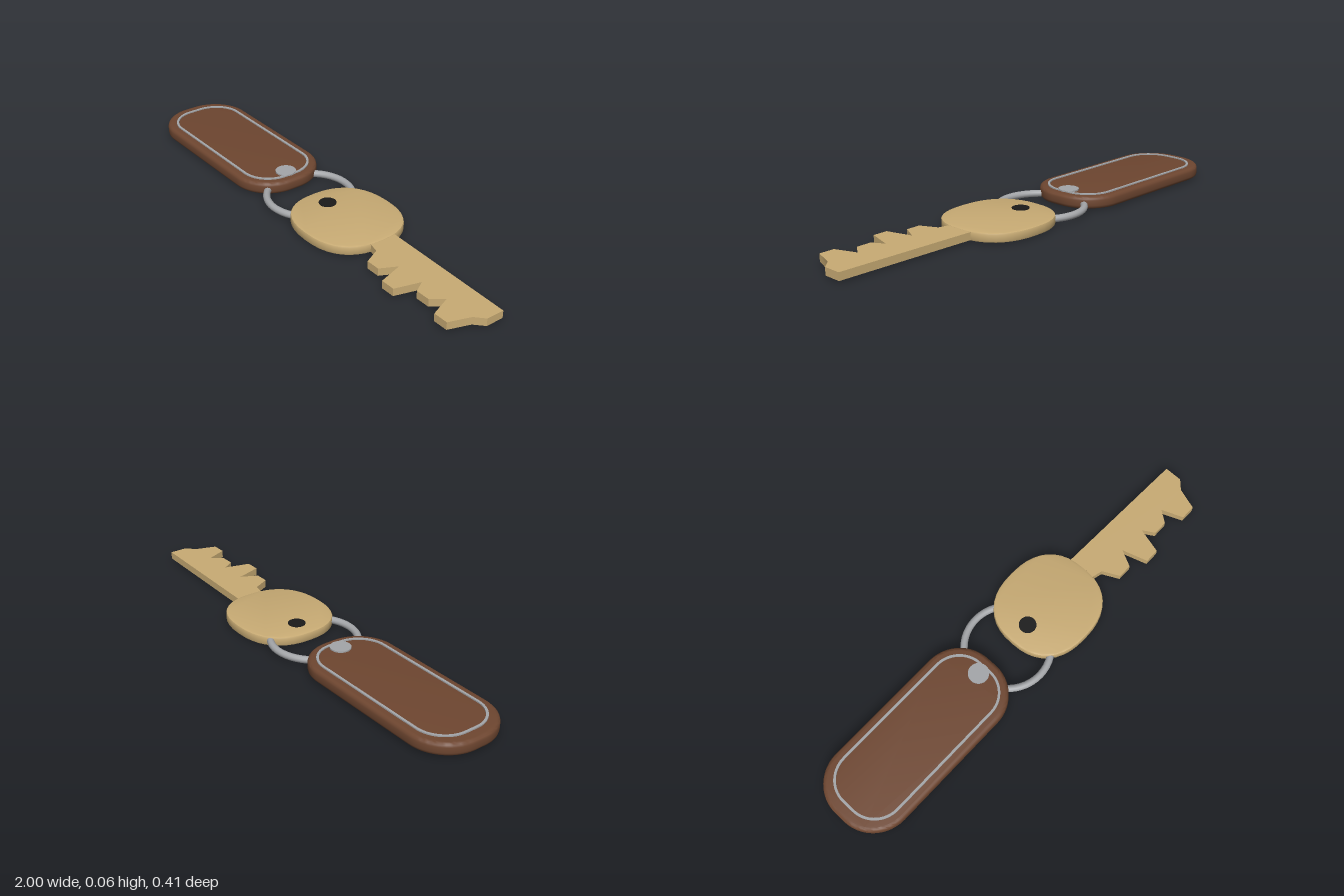
import * as THREE from 'three';
import { toCreasedNormals } from 'three/addons/utils/BufferGeometryUtils.js';

const paint = (color) => new THREE.MeshStandardMaterial({ color });

function add(group, name, geometry, material) {
  const mesh = new THREE.Mesh(geometry, material);
  mesh.name = name;
  group.add(mesh);
  return mesh;
}

// Flat plate lying between y0 and y1; the outline is drawn in (x, -z)
function plate(shape, y0, y1, bevel = 0, segments = 2) {
  const g = new THREE.ExtrudeGeometry(shape, {
    depth: y1 - y0 - 2 * bevel,
    bevelEnabled: bevel > 0,
    bevelSize: bevel,
    bevelThickness: bevel,
    bevelOffset: -bevel,
    bevelSegments: segments,
    curveSegments: 10,
  });
  g.rotateX(-Math.PI / 2);
  g.translate(0, y0 + bevel, 0);
  return toCreasedNormals(g, 0.6);
}

// Rounded rectangle from x0 to x1 with half width w and corner radius r
function roundedRect(x0, x1, w, r, Type = THREE.Shape) {
  const s = new Type();
  s.moveTo(x0 + r, -w);
  s.absarc(x1 - r, -w + r, r, -Math.PI / 2, 0);
  s.absarc(x1 - r, w - r, r, 0, Math.PI / 2);
  s.absarc(x0 + r, w - r, r, Math.PI / 2, Math.PI);
  s.absarc(x0 + r, -w + r, r, Math.PI, Math.PI * 1.5);
  return s;
}

function disc(x, r, y0, y1) {
  const g = new THREE.CylinderGeometry(r, r, y1 - y0, 24);
  g.translate(x, (y0 + y1) / 2, 0);
  return g;
}

export function createModel() {
  const model = new THREE.Group();
  model.name = 'keyAndFob';
  const leather = paint(0x6e4630);
  const brass = paint(0xc8ab74);
  const steel = paint(0xa4a6a9);
  const black = paint(0x1a1a1a);

  // Leather fob with its stitched border and rivet
  const fob = new THREE.Group();
  fob.name = 'fob';
  model.add(fob);
  add(fob, 'fobBody', plate(roundedRect(-1, -0.15, 0.187, 0.165), 0.006, 0.058, 0.015, 3), leather);
  const border = roundedRect(-0.953, -0.185, 0.152, 0.125);
  border.holes.push(roundedRect(-0.943, -0.195, 0.142, 0.115, THREE.Path));
  add(fob, 'stitching', plate(border, 0.054, 0.063), steel);
  add(fob, 'rivet', disc(-0.225, 0.043, 0.004, 0.064), steel);

  // Split ring joining fob and key
  const ring = new THREE.TorusGeometry(0.177, 0.015, 12, 48);
  ring.rotateX(Math.PI / 2);
  ring.translate(-0.055, 0.025, 0);
  add(model, 'ring', ring, steel);

  // Key head: a squared oval
  const key = new THREE.Group();
  key.name = 'key';
  model.add(key);
  const oval = [];
  for (let i = 0; i < 40; i++) {
    const a = (i / 40) * Math.PI * 2;
    const round = (v) => Math.sign(v) * Math.abs(v) ** (2 / 2.4);
    oval.push(new THREE.Vector2(0.19 + 0.22 * round(Math.cos(a)), 0.205 * round(Math.sin(a))));
  }
  add(key, 'keyHead', plate(new THREE.Shape(oval), 0.004, 0.043, 0.007), brass);
  add(key, 'keyHole', disc(0.065, 0.036, 0, 0.046), black);

  // Blade outline as x, z pairs, with four teeth on the front edge
  const outline = [
    [0.36, -0.066], [0.36, 0.05], [0.41, 0.055], [0.45, 0.065],
    [0.485, 0.135], [0.545, 0.135], [0.58, 0.065],
    [0.613, 0.173], [0.675, 0.173], [0.705, 0.065],
    [0.735, 0.115], [0.797, 0.115], [0.834, 0.065],
    [0.87, 0.155], [0.933, 0.155], [0.963, 0.065],
    [1, 0.03], [1, -0.046],
  ];
  const blade = new THREE.Shape(outline.map(([x, z]) => new THREE.Vector2(x, -z)));
  add(key, 'keyBlade', plate(blade, 0.008, 0.04), brass);

  return model;
}
